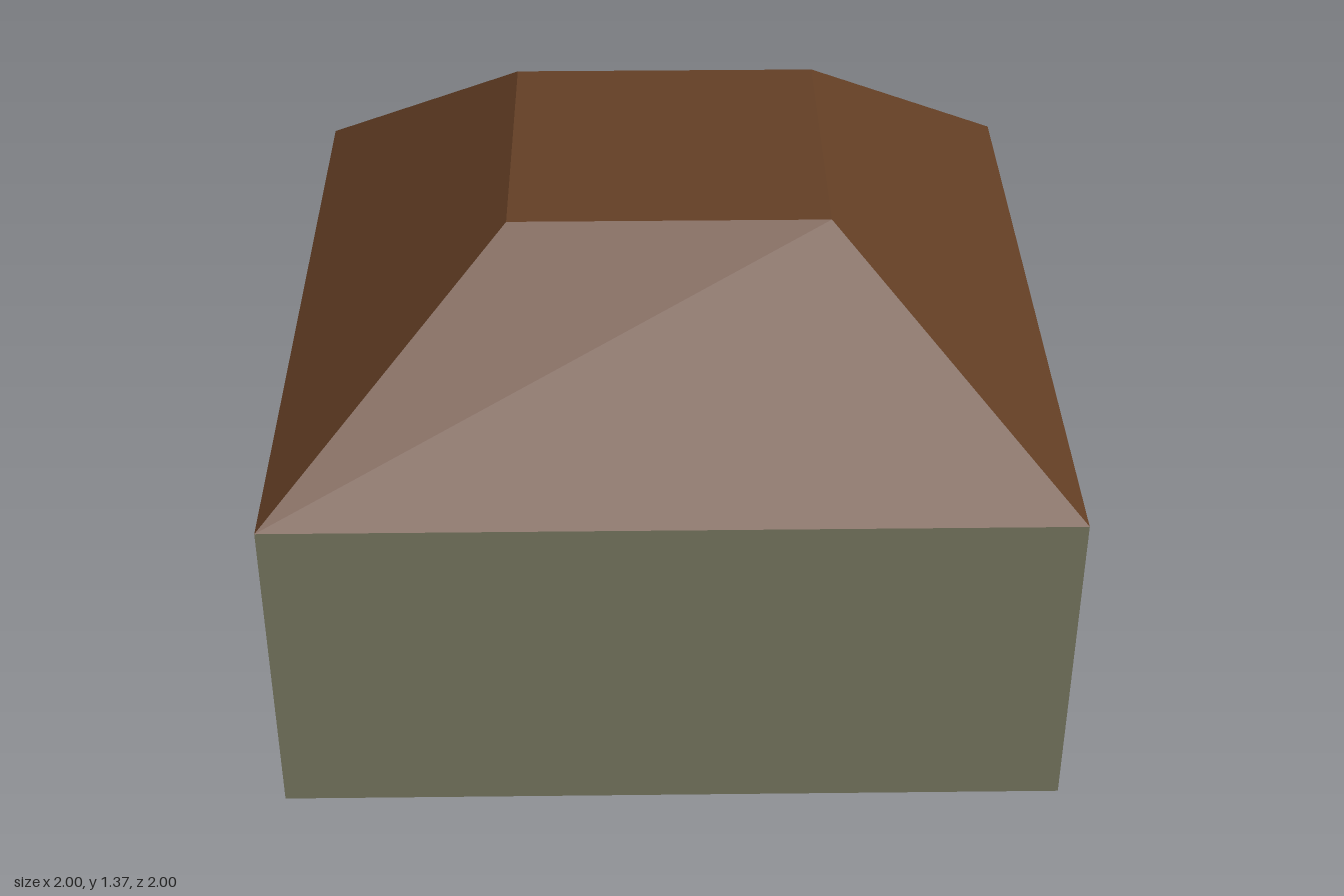
import * as THREE from 'three';

const WALL_H = 0.865, ROOF_TOP = 1.372, JAMB_DEPTH = 0.06;

// Doorway outline, seen from outside its wall (horizontal, height)
const DOOR = [
  [-0.229, 0.022], [0.001, 0.022], [0.002, 0.40], [0.005, 0.42],
  [0.005, 0.452], [-0.233, 0.452], [-0.233, 0.37], [-0.229, 0.35],
].map(([x, y]) => new THREE.Vector2(x, y));

function material(name, color) {
  const m = new THREE.MeshStandardMaterial({ color, side: THREE.DoubleSide });
  m.name = name;
  return m;
}

export function createModel() {
  const house = new THREE.Group();
  house.name = 'house';
  const plaster = material('grey green plaster', 0x73735d);
  const wood = material('brown wood', 0x643f25);

  const add = (name, geometry, mat) => {
    const mesh = new THREE.Mesh(geometry, mat);
    mesh.name = name;
    house.add(mesh);
    return mesh;
  };

  // Four walls; the one on +x has the doorway cut out
  ['frontWall', 'doorWall', 'backWall', 'plainSideWall'].forEach((name, i) => {
    const shape = new THREE.Shape([
      new THREE.Vector2(-1, 0), new THREE.Vector2(1, 0),
      new THREE.Vector2(1, WALL_H), new THREE.Vector2(-1, WALL_H),
    ]);
    if (name === 'doorWall') shape.holes.push(new THREE.Path(DOOR));
    const geometry = new THREE.ShapeGeometry(shape);
    geometry.translate(0, 0, 1).rotateY(i * Math.PI / 2);
    add(name, geometry, plaster);
  });

  // Door reveal: one quad inward from each edge of the outline
  const points = [];
  DOOR.forEach((a, i) => {
    const b = DOOR[(i + 1) % DOOR.length];
    const back = 1 - JAMB_DEPTH;
    points.push(a.x, a.y, 1, b.x, b.y, back, b.x, b.y, 1);
    points.push(a.x, a.y, 1, a.x, a.y, back, b.x, b.y, back);
  });
  const reveal = new THREE.BufferGeometry();
  reveal.setAttribute('position', new THREE.Float32BufferAttribute(points, 3));
  // Wind the quads so they face into the opening
  for (let i = 0; i < points.length / 3; i += 3) {
    const p = reveal.attributes.position;
    const b = new THREE.Vector3().fromBufferAttribute(p, i + 1);
    const c = new THREE.Vector3().fromBufferAttribute(p, i + 2);
    p.setXYZ(i + 1, c.x, c.y, c.z);
    p.setXYZ(i + 2, b.x, b.y, b.z);
  }
  reveal.rotateY(Math.PI / 2);
  reveal.computeVertexNormals();
  add('doorReveal', reveal, wood);

  // Floor, visible through the doorway and from below
  add('floor', new THREE.PlaneGeometry(2, 2).rotateX(Math.PI / 2), wood);

  // Hipped roof with a flat top, open to the room
  const height = ROOF_TOP - WALL_H;
  const slopes = new THREE.CylinderGeometry(
    0.404 * Math.SQRT2, Math.SQRT2, height, 4, 1, true, Math.PI / 4,
  ).toNonIndexed();
  slopes.computeVertexNormals();
  add('roofSlopes', slopes, wood).position.y = WALL_H + height / 2;
  add('roofTop', new THREE.PlaneGeometry(0.808, 0.808).rotateX(-Math.PI / 2), wood).position.y = ROOF_TOP;

  return house;
}
